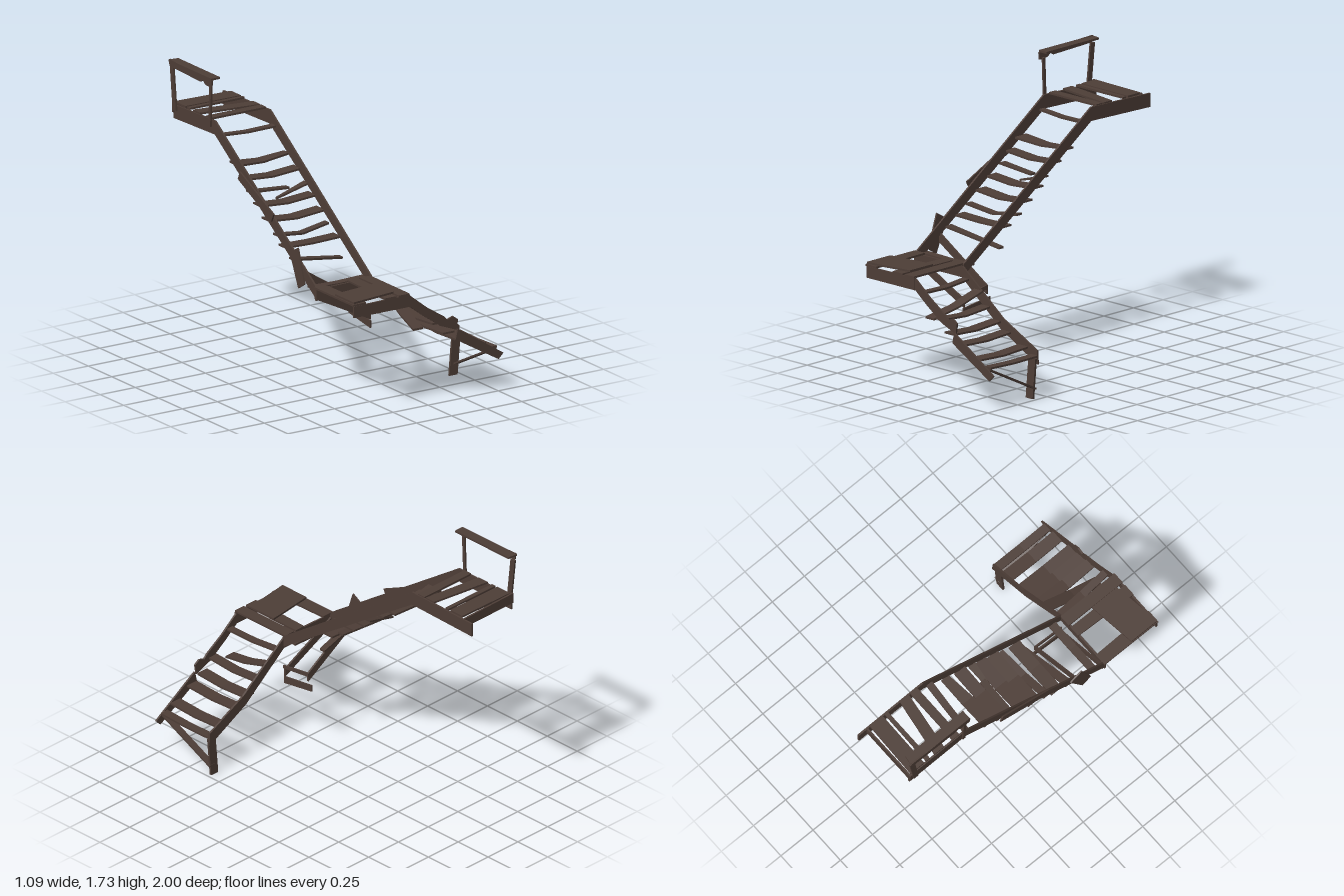
import * as THREE from 'three';

const wood = new THREE.MeshStandardMaterial({ color: 0x4e3e37 });
wood.name = 'weathered brown wood';

export function createModel() {
  const root = new THREE.Group();
  root.name = 'brokenStaircase';

  const add = (name, geo) => {
    const mesh = new THREE.Mesh(geo, wood);
    mesh.name = name;
    root.add(mesh);
    return mesh;
  };
  const outline = (pts, t) => new THREE.ExtrudeGeometry(
    new THREE.Shape(pts.map(p => new THREE.Vector2(p[0], p[1]))),
    { depth: t, bevelEnabled: false }).translate(0, 0, -t / 2);

  // Upright plank facing the front: outline in x, y
  const facing = (name, pts, z, t = 0.012) => add(name, outline(pts, t).translate(0, 0, z));
  // Upright plank facing sideways: outline in z, y
  const sideways = (name, pts, x, t = 0.012) =>
    add(name, outline(pts, t).rotateY(-Math.PI / 2).translate(x, 0, 0));

  // Lying board between four corners, with its middle sagging along x or z
  const board = (name, p00, p10, p01, p11, sagX, sagZ, t = 0.012) => {
    const geo = new THREE.BoxGeometry(1, 1, 1, 2, 1, 2).toNonIndexed();
    const pos = geo.attributes.position;
    for (let i = 0; i < pos.count; i++) {
      const u = pos.getX(i) + 0.5, v = pos.getZ(i) + 0.5;
      const c = [0, 1, 2].map(k =>
        (p00[k] * (1 - u) + p10[k] * u) * (1 - v) + (p01[k] * (1 - u) + p11[k] * u) * v);
      c[1] += pos.getY(i) * t - sagX * 4 * u * (1 - u) - sagZ * 4 * v * (1 - v);
      pos.setXYZ(i, c[0], c[1], c[2]);
    }
    geo.computeVertexNormals();
    return add(name, geo);
  };
  // Ends given as [x, z0, z1, y]
  const alongX = (name, a, b, sag = 0) => board(name,
    [a[0], a[3], a[1]], [b[0], b[3], b[1]], [a[0], a[3], a[2]], [b[0], b[3], b[2]], sag, 0);
  // Ends given as [z, x0, x1, y]
  const alongZ = (name, a, b, sag = 0) => board(name,
    [a[1], a[3], a[0]], [a[2], a[3], a[0]], [b[1], b[3], b[0]], [b[2], b[3], b[0]], 0, sag);

  const L = -0.51, R = -0.12;

  // Upper flight stringers, running on as the top platform beams
  for (const [name, x, end] of [['upperRightStringer', L, -0.94], ['upperLeftStringer', R, -1]]) {
    sideways(name, [[0.575, 0.64], [0.575, 0.712], [-0.5, 1.46],
      [end, 1.447], [end, 1.362], [-0.5, 1.375]], x);
  }

  // Upper treads: z range at each end, heights, sag
  const treads = [
    [-0.50, -0.46, -0.475, -0.43, 1.375, 1.375, 0.008],
    [-0.355, -0.25, -0.355, -0.30, 1.245, 1.24, 0.014],
    [-0.255, -0.175, -0.255, -0.175, 1.178, 1.178, 0.014],
    [-0.10, -0.015, -0.10, -0.015, 1.055, 1.055, 0.014],
    [-0.01, 0.08, -0.01, 0.08, 0.988, 0.988, 0.016],
    [0.11, 0.16, 0.08, 0.125, 0.92, 0.92, 0.026],
    [0.17, 0.25, 0.17, 0.25, 0.868, 0.868, 0.005],
    [0.28, 0.335, 0.235, 0.275, 0.815, 0.745, 0],
    [0.48, 0.53, 0.48, 0.53, 0.69, 0.69, 0.005],
  ];
  for (const [a0, a1, b0, b1, ya, yb, sag] of treads) {
    alongX('upperTread', [L, a0, a1, ya], [R, b0, b1, yb], sag);
  }
  // Snapped tread in two halves
  alongX('snappedTreadRight', [L, -0.175, -0.125, 1.112], [-0.24, -0.155, -0.115, 1.097]);
  alongX('snappedTreadLeft', [-0.33, -0.13, -0.115, 1.047], [R, -0.145, -0.095, 1.108]);

  // Top platform
  const deck = [
    [-0.925, -0.82, -0.915, -0.815], [-0.805, -0.775, -0.80, -0.775],
    [-0.74, -0.665, -0.68, -0.61], [-0.60, -0.545, -0.60, -0.545],
  ];
  for (const [a0, a1, b0, b1] of deck) {
    alongX('topDeckPlank', [L, a0, a1, 1.46], [R, b0, b1, 1.46]);
  }
  facing('topEndBeam', [[-0.525, 1.4], [R, 1.4], [R, 1.458], [-0.525, 1.465]], -0.935);

  // Top railing
  sideways('railFrontPost', [[-0.52, 1.42], [-0.51, 1.68], [-0.53, 1.68], [-0.54, 1.42]], -0.53);
  sideways('railBackPost', [[-0.885, 1.42], [-0.915, 1.69], [-0.95, 1.69], [-0.92, 1.42]], -0.53);
  sideways('railSideBoard', [[-0.49, 1.715], [-0.945, 1.732], [-0.94, 1.69],
    [-0.61, 1.68], [-0.585, 1.695], [-0.56, 1.675], [-0.495, 1.67]], -0.54, 0.01);
  alongX('railCap', [-0.545, -0.95, -0.495, 1.722], [-0.482, -0.94, -0.495, 1.722]);

  // Remains of the upper side railing
  sideways('looseRailBoard', [[0.14, 1.05], [-0.22, 1.22], [-0.24, 1.17], [0.115, 1.0]], -0.522, 0.01);
  sideways('leaningPost', [[0.395, 0.91], [0.31, 0.86], [0.40, 0.66], [0.465, 0.70]], -0.52, 0.01);

  // Landing
  for (const z of [0.58, 0.982]) {
    facing('landingBeam', [[-0.52, 0.63], [R, 0.63], [R, 0.705], [-0.52, 0.7]], z);
  }
  alongZ('landingPlank', [0.57, -0.525, -0.445, 0.708], [0.99, -0.525, -0.435, 0.708]);
  alongZ('landingPlank', [0.57, -0.285, -0.215, 0.708], [0.99, -0.30, -0.22, 0.708]);
  alongZ('landingPlank', [0.57, -0.20, -0.125, 0.708], [0.99, -0.20, -0.125, 0.708]);
  alongX('looseLandingBoard', [-0.52, 0.785, 0.985, 0.721], [-0.205, 0.745, 0.94, 0.721]);

  // Diagonal braces below the landing and their end boards
  facing('backBrace', [[-0.515, 0.79], [-0.515, 0.73], [R, 0.485], [R, 0.54]], 0.375);
  facing('frontBrace', [[-0.515, 0.69], [-0.515, 0.635], [R, 0.44], [R, 0.49]], 0.567);
  sideways('braceTie', [[0.58, 0.49], [0.37, 0.515], [0.37, 0.54], [0.58, 0.51]], -0.123, 0.01);
  sideways('braceFoot', [[0.575, 0.39], [0.345, 0.425], [0.345, 0.465], [0.575, 0.435]], -0.125, 0.01);

  // Lower flight stringers
  facing('lowerBackStringer', [[R, 0.70], [0.22, 0.44], [0.5, 0.30], [0.505, 0.215],
    [0.2, 0.375], [R, 0.63]], 0.58);
  facing('lowerFrontStringer', [[R, 0.70], [0, 0.605], [0.125, 0.525], [0.15, 0.5],
    [0.19, 0.515], [0.225, 0.49], [0.215, 0.425], [0.1, 0.47], [-0.03, 0.56], [R, 0.63]], 0.977);
  facing('brokenFrontStringer', [[0.215, 0.435], [0.54, 0.23], [0.505, 0.195], [0.2, 0.37]], 0.99);

  // Lower treads: x range at the back and front, heights, sag
  const lower = [
    [-0.115, -0.065, -0.085, -0.04, 0.625, 0.625, 0.01],
    [-0.02, 0.05, -0.07, 0.0, 0.575, 0.465, 0.012],
    [0.04, 0.11, 0.045, 0.11, 0.49, 0.49, 0.014],
    [0.12, 0.20, 0.12, 0.20, 0.417, 0.417, 0.012],
    [0.205, 0.285, 0.205, 0.285, 0.367, 0.367, 0.01],
    [0.345, 0.425, 0.345, 0.425, 0.305, 0.305, 0.01],
    [0.45, 0.505, 0.45, 0.505, 0.265, 0.27, 0.005],
    [0.45, 0.495, 0.455, 0.5, 0.065, 0.26, 0.0],
  ];
  lower.forEach(([a0, a1, b0, b1, ya, yb, sag], i) => {
    const front = i === 1 ? 0.945 : 0.98;
    alongZ(i === 7 ? 'fallenTread' : 'lowerTread', [0.585, a0, a1, ya], [front, b0, b1, yb], sag);
  });

  // Single remaining leg
  facing('leg', [[0.42, 0], [0.478, 0], [0.5, 0.25], [0.442, 0.25]], 0.593, 0.014);

  return root;
}
